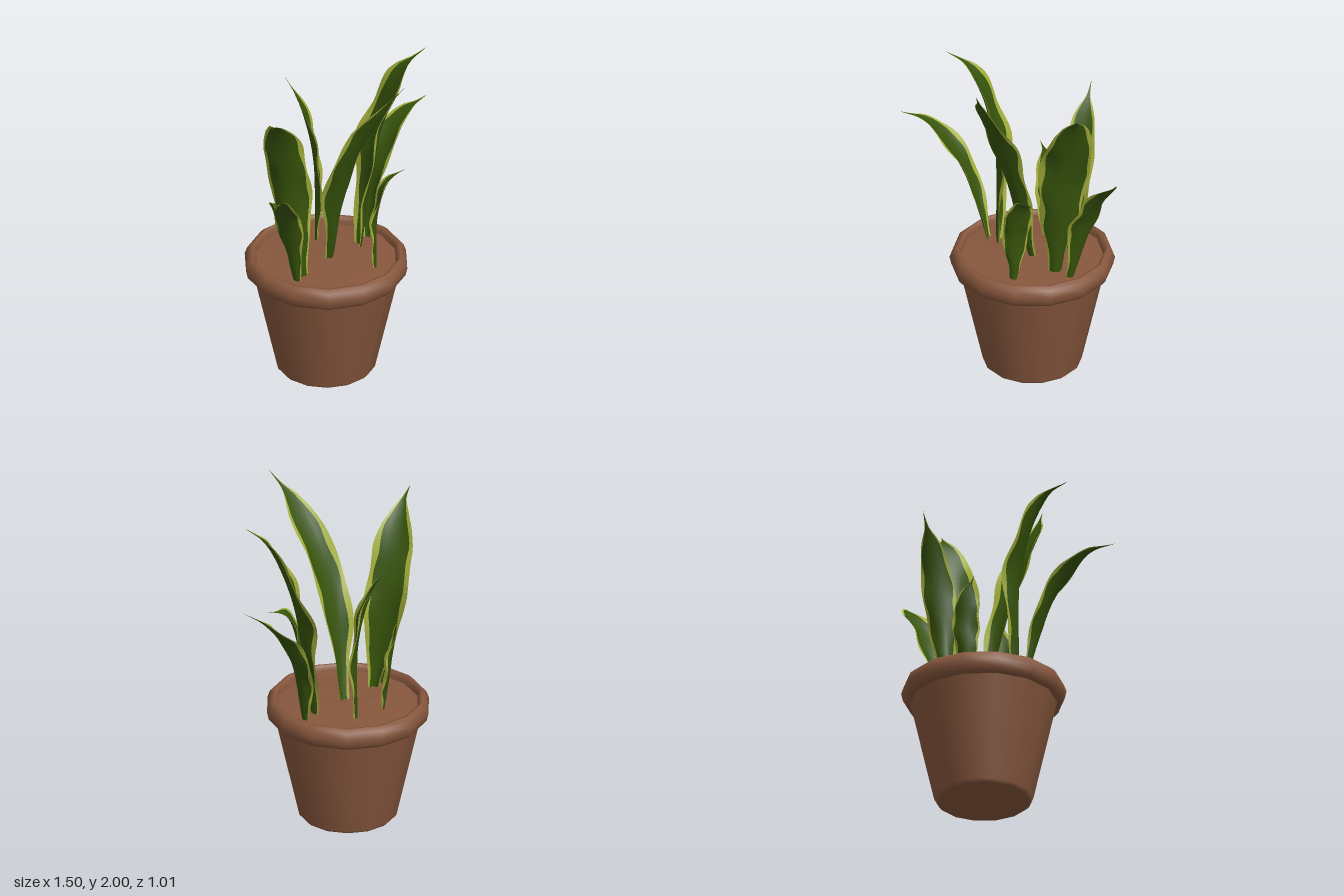
import * as THREE from 'three';

const V = (x, y, z) => new THREE.Vector3(x, y, z);
const clay = new THREE.MeshStandardMaterial({ color: 0x87573d });
clay.name = 'brown clay';
const leafGreen = new THREE.MeshStandardMaterial({ color: 0x37540b });
leafGreen.name = 'leaf green';
const marginYellow = new THREE.MeshStandardMaterial({ color: 0xa4b03b });
marginYellow.name = 'leaf margin yellow green';

// Relative leaf width at equal steps from base to tip
const WIDTH = [0.24, 0.36, 0.55, 0.78, 0.94, 1, 1, 0.92, 0.68, 0.26, 0];
function widthAt(u) {
  const f = u * (WIDTH.length - 1), i = Math.min(Math.floor(f), WIDTH.length - 2);
  return THREE.MathUtils.lerp(WIDTH[i], WIDTH[i + 1], f - i) * (1 - 0.5 * THREE.MathUtils.smoothstep(u, 0.86, 0.94));
}

// One face of a leaf: a cupped ribbon along a curve, outer columns in the margin colour
function leafFace(curve, side, halfWidth, seed, upper) {
  const rows = 36, m = upper ? 0.75 : 0.85;
  const cols = [-1, -m, -m * 0.6, -m * 0.25, m * 0.25, m * 0.6, m, 1];
  const pos = [], green = [], yellow = [];
  for (let i = 0; i <= rows; i++) {
    const u = i / rows, p = curve.getPointAt(u), t = curve.getTangentAt(u);
    const s = side.clone().addScaledVector(t, -side.dot(t)).normalize();
    const n = t.clone().cross(s).normalize();
    const w = halfWidth * widthAt(u);
    const cup = 0.24 + 0.5 * (1 - u) ** 2;
    cols.forEach((c, j) => {
      const edge = j === 1 || j === 6 ? 1 + 0.06 * Math.sin(u * 31 + seed * 3 + j) : 1;
      const k = c * edge;
      const ruffle = 0.14 * k * k * Math.sin(u * 17 + seed * 2 + (c > 0 ? 2 : 0));
      const flare = 1 + 0.05 * Math.sin(u * 23 + seed + j);
      const thick = (upper ? 1 : -1) * 0.05 * (1 - k * k);
      const q = p.clone().addScaledVector(s, k * w * flare)
        .addScaledVector(n, w * (cup * (k * k - 0.35) + ruffle + thick));
      pos.push(q.x, q.y, q.z);
    });
  }
  const nc = cols.length;
  for (let i = 0; i < rows; i++) for (let j = 0; j < nc - 1; j++) {
    const a = i * nc + j, b = a + 1, d = a + nc, e = d + 1;
    const list = j === 0 || j === nc - 2 ? yellow : green;
    if (upper) list.push(a, d, b, b, d, e);
    else list.push(a, b, d, b, e, d);
  }
  const g = new THREE.BufferGeometry();
  g.setAttribute('position', new THREE.Float32BufferAttribute(pos, 3));
  g.setIndex([...green, ...yellow]);
  g.addGroup(0, green.length, 0);
  g.addGroup(green.length, yellow.length, 1);
  g.computeVertexNormals();
  return g;
}

// A leaf rises from the soil at base (x, z) through a middle and a neck point to its tip;
// turn is the horizontal angle of the line across the blade
function makeLeaf(name, seed, { base, mid, neck, tip, turn, width }) {
  const leaf = new THREE.Group();
  leaf.name = name;
  const curve = new THREE.CatmullRomCurve3([V(base[0], 0.66, base[1]), V(...mid), V(...neck), V(...tip)]);
  const side = V(Math.cos(turn), 0, Math.sin(turn));
  for (const upper of [true, false]) {
    const mesh = new THREE.Mesh(leafFace(curve, side, width / 2, seed, upper), [leafGreen, marginYellow]);
    mesh.name = upper ? 'upperFace' : 'lowerFace';
    leaf.add(mesh);
  }
  return leaf;
}

// Pot parts are turned profiles given as radius and height
function turned(name, profile) {
  const g = new THREE.LatheGeometry(profile.map(([r, y]) => new THREE.Vector2(r, y)), 14, 0.1);
  const mesh = new THREE.Mesh(g, clay);
  mesh.name = name;
  return mesh;
}

function makePot() {
  const pot = new THREE.Group();
  pot.name = 'pot';
  pot.position.set(0.01, 0, -0.045);
  pot.add(turned('potBase', [[0, 0], [0.262, 0]]));
  pot.add(turned('potWall', [[0.262, 0], [0.28, 0.018], [0.418, 0.63]]));
  pot.add(turned('potRim', [[0.405, 0.608], [0.438, 0.61], [0.456, 0.632], [0.466, 0.675],
    [0.452, 0.715], [0.43, 0.735], [0.415, 0.733], [0.404, 0.71], [0.398, 0.67]]));

  // Slightly lumpy soil
  const soil = turned('soil', [[0.405, 0.69], [0.3, 0.695], [0.2, 0.7], [0.1, 0.7], [0, 0.7]]);
  const p = soil.geometry.attributes.position;
  for (let i = 0; i < p.count; i++) {
    const x = p.getX(i), z = p.getZ(i);
    p.setY(i, p.getY(i) + 0.008 * Math.sin(x * 19 + 1) * Math.cos(z * 23));
  }
  soil.geometry.computeVertexNormals();
  pot.add(soil);
  return pot;
}

export function createModel() {
  const model = new THREE.Group();
  model.name = 'pottedPlant';
  model.add(makePot());

  const leaves = new THREE.Group();
  leaves.name = 'leaves';
  leaves.add(
    makeLeaf('frontTallLeaf', 1, { base: [0.025, -0.03], mid: [-0.02, 1.35, 0.13], neck: [0.03, 1.82, 0.38], tip: [0.1, 2, 0.5], turn: 0.03, width: 0.22 }),
    makeLeaf('leftTallLeaf', 2, { base: [0.235, 0], mid: [0.34, 1.38, 0.02], neck: [0.49, 1.79, 0.11], tip: [0.6, 1.91, 0.19], turn: -1, width: 0.29 }),
    makeLeaf('rightTallLeaf', 3, { base: [-0.225, -0.01], mid: [-0.29, 1.36, -0.07], neck: [-0.45, 1.75, -0.01], tip: [-0.58, 1.82, 0.05], turn: 1.02, width: 0.24 }),
    makeLeaf('leftLowLeaf', 4, { base: [0.33, -0.02], mid: [0.44, 1.11, -0.06], neck: [0.62, 1.37, -0.03], tip: [0.75, 1.475, 0.05], turn: -1.45, width: 0.2 }),
    makeLeaf('rightLowLeaf', 5, { base: [-0.28, 0], mid: [-0.42, 1.13, 0.05], neck: [-0.61, 1.39, 0.15], tip: [-0.75, 1.44, 0.25], turn: 1.16, width: 0.16 }),
    makeLeaf('frontSmallLeaf', 6, { base: [0.125, 0.225], mid: [0.14, 1.03, 0.215], neck: [0.22, 1.22, 0.235], tip: [0.33, 1.26, 0.27], turn: -0.75, width: 0.15 }),
    makeLeaf('backTallLeaf', 7, { base: [0.12, -0.22], mid: [0.15, 1.2, -0.25], neck: [0.13, 1.52, -0.34], tip: [0.09, 1.7, -0.44], turn: 2.36, width: 0.18 }),
    makeLeaf('backSmallLeaf', 8, { base: [-0.07, -0.24], mid: [-0.09, 1.02, -0.28], neck: [-0.13, 1.2, -0.29], tip: [-0.16, 1.27, -0.28], turn: 2.36, width: 0.15 }),
  );
  model.add(leaves);
  return model;
}
